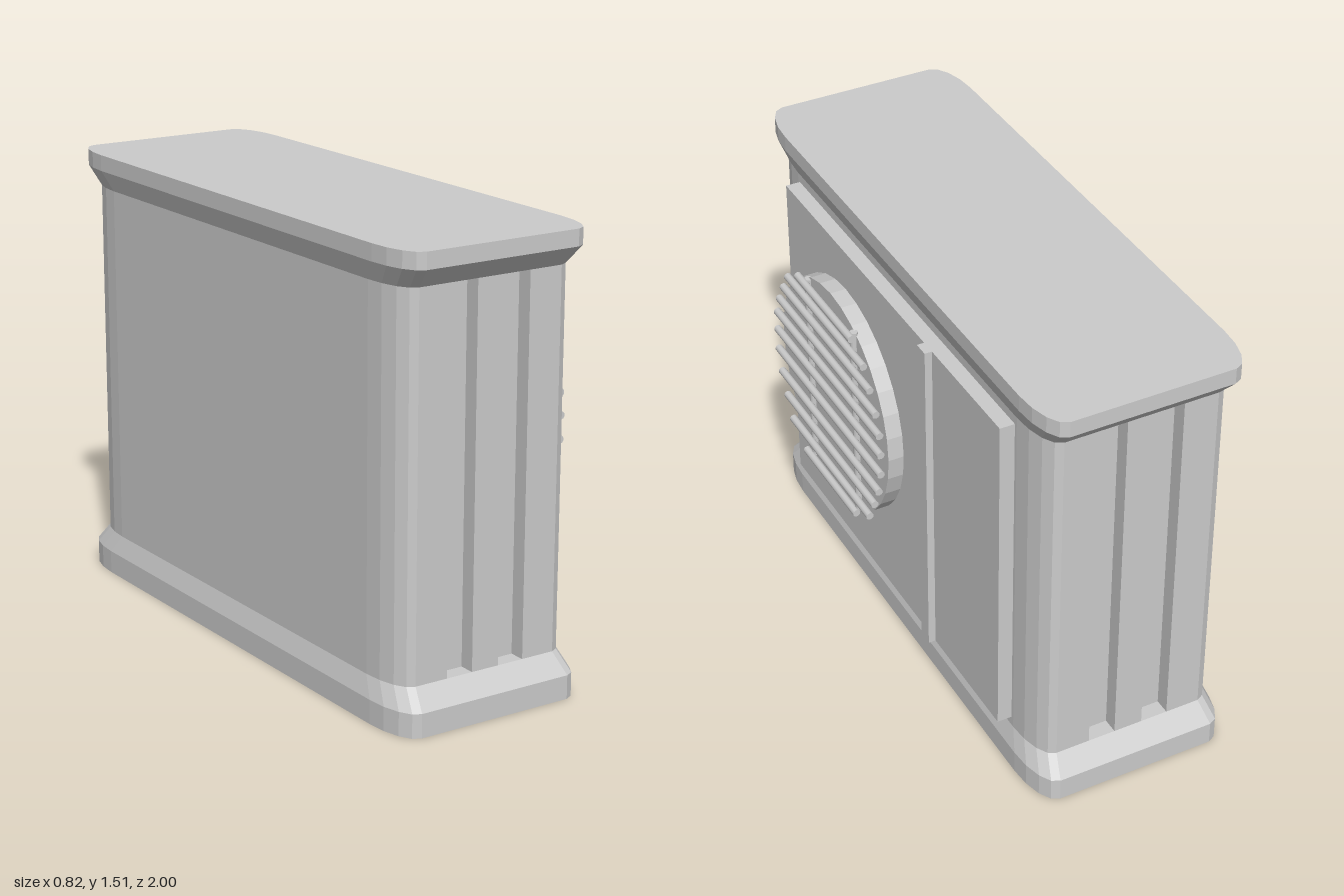
import * as THREE from 'three';

const CX = -0.06;      // the casing sits behind the grille on x
const HX = 0.35, HZ = 1, RX = 0.07, RZ = 0.18, WAIST = 0.941;

// Rounded-rectangle outline; optionally with two vent grooves in each short end
function outline(grooved) {
  const pts = [];
  const corner = (sx, sz, from) => {
    for (let i = 0; i <= 4; i++) {
      const a = from + (i / 4) * Math.PI / 2;
      pts.push(new THREE.Vector2(sx * (HX - RX) + RX * Math.cos(a), sz * (HZ - RZ) + RZ * Math.sin(a)));
    }
  };
  const grooves = (s) => {
    if (!grooved) return;
    const deep = HZ - 0.058;
    [[0.154, HZ], [0.154, deep], [0.053, deep], [0.053, HZ],
      [-0.053, HZ], [-0.053, deep], [-0.154, deep], [-0.154, HZ]]
      .forEach(([x, z]) => pts.push(new THREE.Vector2(s * x, s * z)));
  };
  corner(1, 1, 0);
  grooves(1);
  corner(-1, 1, Math.PI / 2);
  corner(-1, -1, Math.PI);
  grooves(-1);
  corner(1, -1, Math.PI * 1.5);
  return new THREE.Shape(pts);
}

// Upright extrusion whose layers take the given [height, scale] pairs
function layered(shape, layers) {
  const steps = layers.length - 1;
  const geo = new THREE.ExtrudeGeometry(shape, { depth: steps, steps, bevelEnabled: false });
  geo.rotateX(-Math.PI / 2);
  const p = geo.attributes.position;
  for (let i = 0; i < p.count; i++) {
    const [y, s] = layers[Math.round(p.getY(i))];
    p.setXYZ(i, CX + p.getX(i) * s, y, p.getZ(i) * s);
  }
  geo.computeVertexNormals();
  return geo;
}

export function createModel() {
  const model = new THREE.Group();
  model.name = 'outdoorUnit';
  const flat = new THREE.MeshStandardMaterial({ color: 0xcccccc, flatShading: true });
  const smooth = new THREE.MeshStandardMaterial({ color: 0xcccccc });
  const add = (name, geo, mat = flat, parent = model) => {
    const mesh = new THREE.Mesh(geo, mat);
    mesh.name = name;
    parent.add(mesh);
    return mesh;
  };

  // Casing: flared base, grooved body, flared lid
  add('base', layered(outline(false), [[0, 1], [0.08, 1], [0.145, WAIST]]));
  add('body', layered(outline(true), [[0.145, WAIST], [1.395, WAIST]]));
  add('lid', layered(outline(false), [[1.395, WAIST], [1.46, 1], [1.515, 1]]));

  // Side panel and its dividing strip
  add('sidePanel', new THREE.BoxGeometry(0.06, 1.185, 1.52)).position.set(0.29, 0.772, 0);
  add('dividerStrip', new THREE.BoxGeometry(0.075, 1.185, 0.053)).position.set(0.3075, 0.772, -0.293);

  // Raised fan disc
  const disc = add('fanDisc', new THREE.CylinderGeometry(0.41, 0.41, 0.065, 32));
  disc.rotation.z = -Math.PI / 2;
  disc.position.set(0.3425, 0.81, 0.305);

  // Grille: horizontal bars [height, half length] over two uprights
  const grille = new THREE.Group();
  grille.name = 'fanGrille';
  model.add(grille);
  const bars = [[1.17, 0.208], [1.115, 0.294], [1.048, 0.337], [0.978, 0.377], [0.908, 0.401], [0.833, 0.406],
    [0.752, 0.404], [0.667, 0.385], [0.588, 0.348], [0.51, 0.308], [0.445, 0.2]];
  for (const [y, half] of bars) {
    const bar = add('grilleBar', new THREE.CylinderGeometry(0.0135, 0.0135, half * 2, 10), smooth, grille);
    bar.rotation.x = Math.PI / 2;
    bar.position.set(0.397, y, 0.311);
  }
  for (const z of [0.126, 0.473]) {
    add('grilleUpright', new THREE.CylinderGeometry(0.014, 0.014, 0.73, 10), smooth, grille)
      .position.set(0.378, 0.815, z);
  }
  return model;
}
